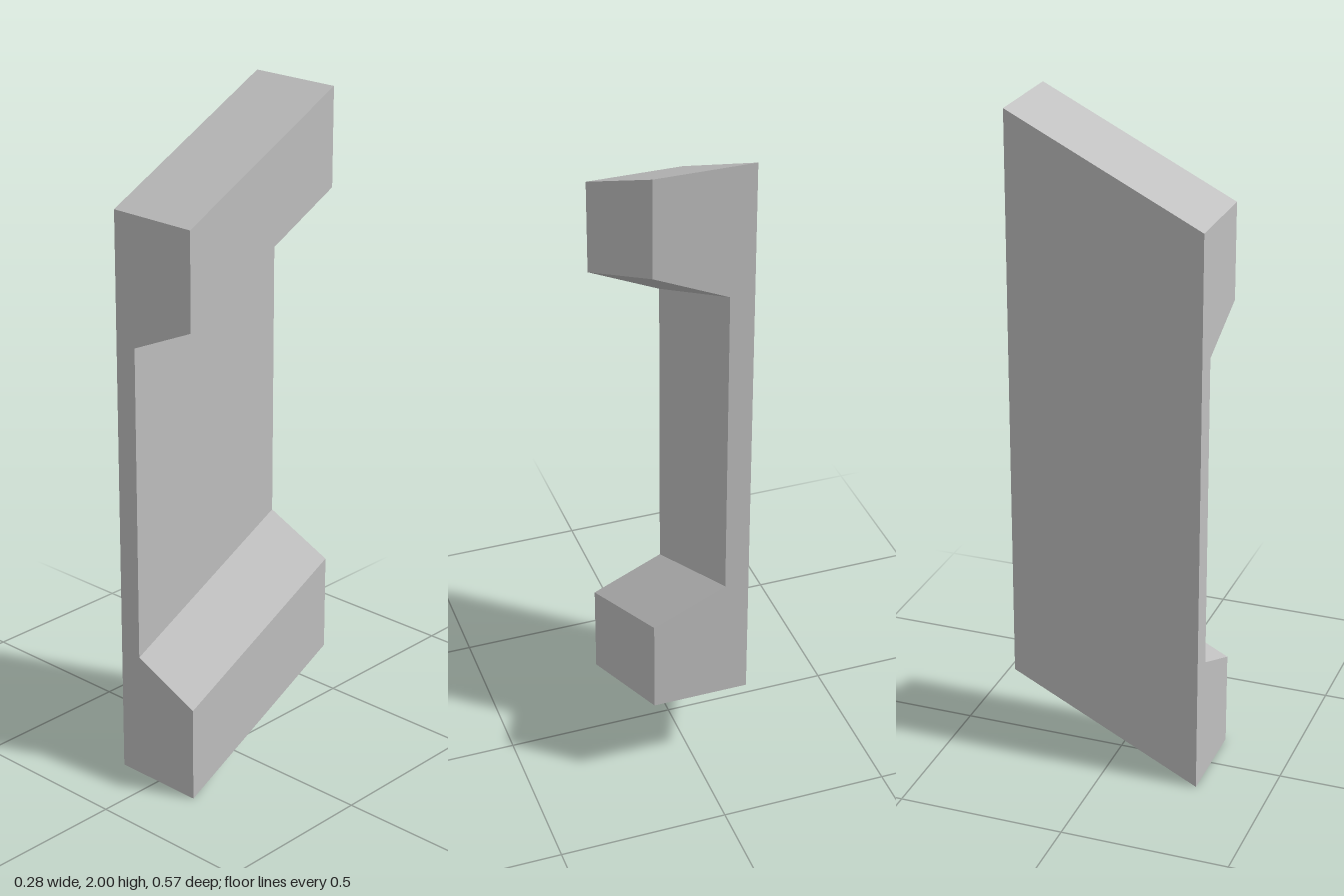
import * as THREE from 'three';

export function createModel() {
  const group = new THREE.Group();
  group.name = 'slantedBracket';
  const grey = new THREE.MeshStandardMaterial({ color: 0xc0c0c0 });
  grey.name = 'grey';

  // C-shaped profile: upright wall with a tapered lug at each end
  const half = 0.1425, depth = 0.57, height = 1.715, wall = -0.072;
  const profile = new THREE.Shape([
    [-half, 0], [half, 0], [half, 0.287], [wall, 0.382],
    [wall, height - 0.382], [half, height - 0.287], [half, height], [-half, height],
  ].map(([x, y]) => new THREE.Vector2(x, y)));
  const geometry = new THREE.ExtrudeGeometry(profile, { depth, bevelEnabled: false });
  geometry.translate(0, 0, -depth / 2);

  // Shear so the body rises by half its depth towards the back
  geometry.applyMatrix4(new THREE.Matrix4().set(
    1, 0, 0, 0,
    0, 1, -0.5, depth / 4,
    0, 0, 1, 0,
    0, 0, 0, 1,
  ));
  const bracket = new THREE.Mesh(geometry, grey);
  bracket.name = 'bracket';
  group.add(bracket);
  return group;
}
